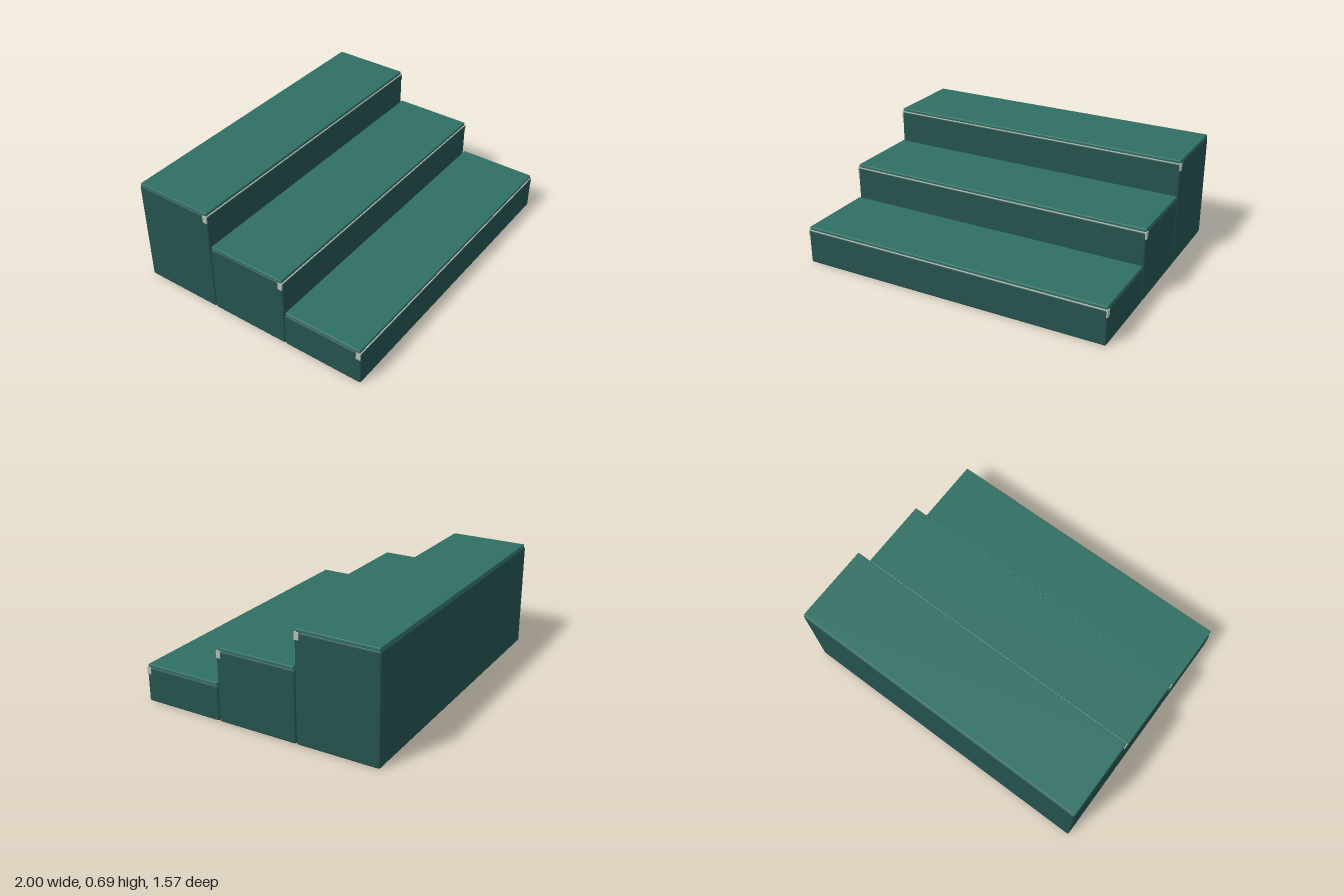
import * as THREE from 'three';
import { RoundedBoxGeometry } from 'three/addons/geometries/RoundedBoxGeometry.js';

const mat = (name, color) => {
  const m = new THREE.MeshStandardMaterial({ color });
  m.name = name;
  return m;
};

export function createModel() {
  const body = mat('dark green body', 0x25524e);
  const tread = mat('green tread', 0x2f6f63);
  const trim = mat('grey trim', 0xb5bab4);
  const model = new THREE.Group();
  model.name = 'steps';

  const add = (parent, name, geometry, material, y, z) => {
    const mesh = new THREE.Mesh(geometry, material);
    mesh.name = name;
    mesh.position.set(0, y, z);
    parent.add(mesh);
  };

  // three blocks rising towards the back
  const rise = 0.2245, run = 0.525, depth = 0.522;
  for (let i = 0; i < 3; i++) {
    const step = new THREE.Group();
    step.name = 'step' + (i + 1);
    step.position.z = run * (1 - i);
    const h = rise * (i + 1);

    // softly bevelled block
    add(step, 'block', new RoundedBoxGeometry(1.996, h, depth, 2, 0.012), body, h / 2, 0);
    // thin tread on top
    add(step, 'treadPlate', new RoundedBoxGeometry(1.99, 0.022, 0.508, 2, 0.006), tread, h + 0.007, 0);
    // nosing strip, showing at its ends and along the bevelled front edge
    add(step, 'nosingStrip', new THREE.BoxGeometry(2, 0.045, 0.028), trim, h - 0.0235, depth / 2 - 0.0155);

    model.add(step);
  }
  return model;
}
